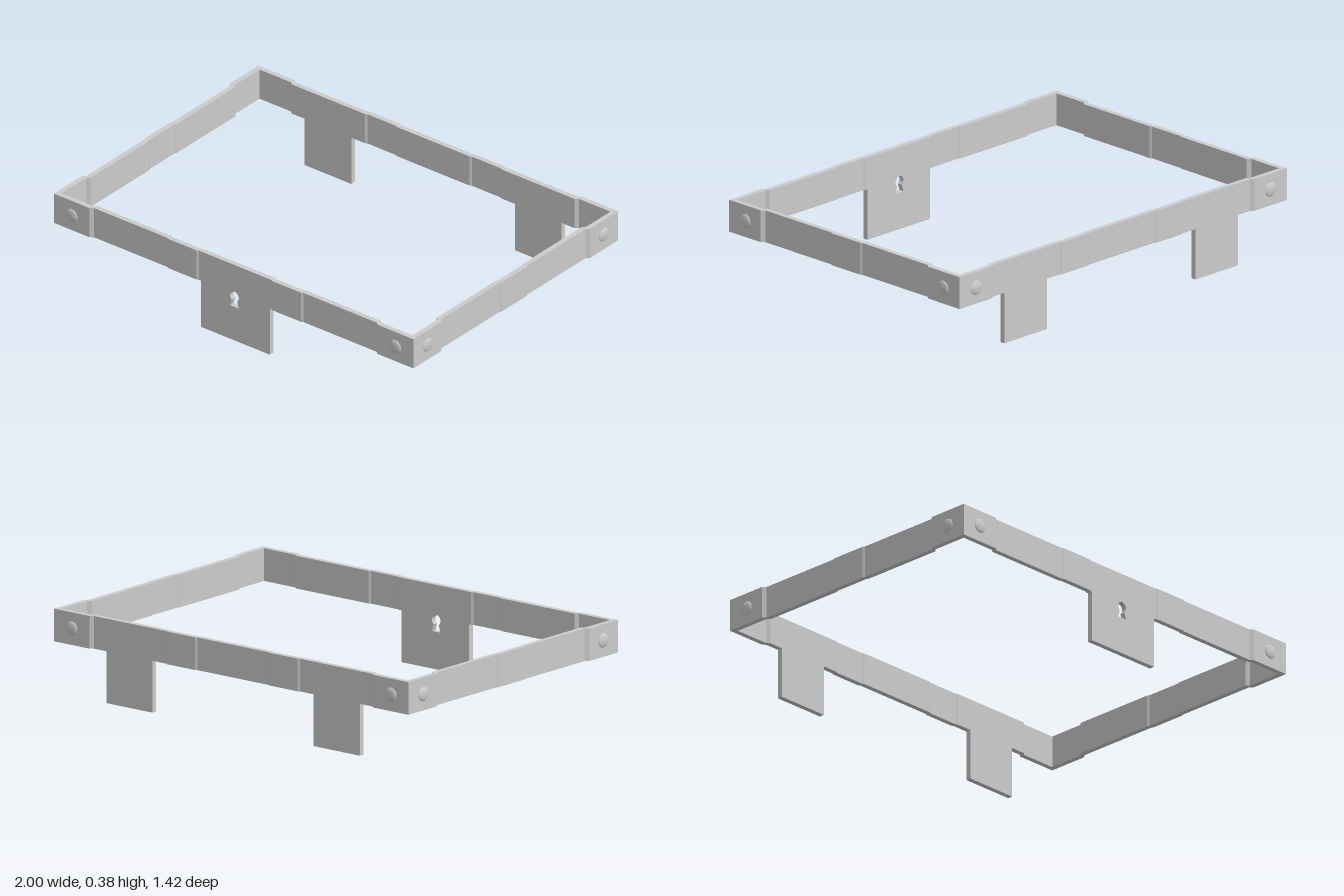
import * as THREE from 'three';

const BOTTOM = 0.23, TOP = 0.375, THICK = 0.024;

export function createModel() {
  const model = new THREE.Group();
  model.name = 'lockFrame';
  const material = new THREE.MeshStandardMaterial({ color: 0xcccccc });
  const add = (name, geometry) => {
    const mesh = new THREE.Mesh(geometry, material);
    mesh.name = name;
    model.add(mesh);
    return mesh;
  };

  // Outer outline of one quarter of the band as [x, z], from front centre to side centre
  const frontRun = [[0.19, 0.69], [0.2, 0.69], [0.21, 0.695], [0.365, 0.695],
    [0.375, 0.69], [0.78, 0.69], [0.795, 0.702]];
  const corner = [0.992, 0.702];
  const sideRun = [[0.992, 0.51], [0.978, 0.495], [0.978, 0.095], [0.983, 0.085]];
  const quarter = (t) => [
    ...frontRun.map(([x, z]) => [x, z - t]),
    [corner[0] - t, corner[1] - t],
    ...sideRun.map(([x, z]) => [x - t, z]),
  ];
  // Whole loop by mirroring, left open at the front where the lock plate sits
  const loop = (t) => {
    const q = quarter(t);
    const half = [...q, ...q.map(([x, z]) => [x, -z]).reverse()];
    return [...half, ...half.map(([x, z]) => [-x, z]).reverse()];
  };

  // Stepped rectangular band
  const outline = [...loop(0), ...loop(THICK).reverse()];
  const bandShape = new THREE.Shape(outline.map(([x, z]) => new THREE.Vector2(x, -z)));
  const band = new THREE.ExtrudeGeometry(bandShape, { depth: TOP - BOTTOM, bevelEnabled: false });
  band.rotateX(-Math.PI / 2).translate(0, BOTTOM, 0);
  add('band', band);

  // Front lock plate with keyhole, filling the gap in the band
  const plate = new THREE.Shape([[-0.19, 0], [0.19, 0], [0.19, TOP], [-0.19, TOP]]
    .map(([x, y]) => new THREE.Vector2(x, y)));
  const keyhole = new THREE.Path();
  keyhole.moveTo(-0.029, 0.167);
  keyhole.lineTo(-0.019, 0.2);
  keyhole.absarc(-0.005, 0.218, 0.024, Math.PI * 1.3, -Math.PI * 0.3, true);
  keyhole.lineTo(0.019, 0.167);
  keyhole.closePath();
  plate.holes.push(keyhole);
  const lock = new THREE.ExtrudeGeometry(plate, { depth: THICK, bevelEnabled: false, curveSegments: 20 });
  add('lockPlate', lock).position.z = 0.69 - THICK;

  // Back hinge tabs hanging below the band
  for (const s of [-1, 1]) {
    const tab = add('hingeTab', new THREE.BoxGeometry(0.258, BOTTOM, THICK));
    tab.position.set(s * 0.58, BOTTOM / 2, -0.69 + THICK / 2);
  }

  // Flattened dome rivets, two beside each corner
  const dome = new THREE.SphereGeometry(0.032, 28, 10, 0, Math.PI * 2, 0, Math.PI / 2);
  dome.scale(1, 0.3, 1).rotateX(Math.PI / 2);
  for (const sx of [-1, 1]) {
    for (const sz of [-1, 1]) {
      const faceRivet = add('faceRivet', dome);
      faceRivet.position.set(sx * 0.893, 0.303, sz * 0.701);
      faceRivet.rotation.y = sz > 0 ? 0 : Math.PI;
      const sideRivet = add('sideRivet', dome);
      sideRivet.position.set(sx * 0.991, 0.303, sz * 0.603);
      sideRivet.rotation.y = sx * Math.PI / 2;
    }
  }
  return model;
}
